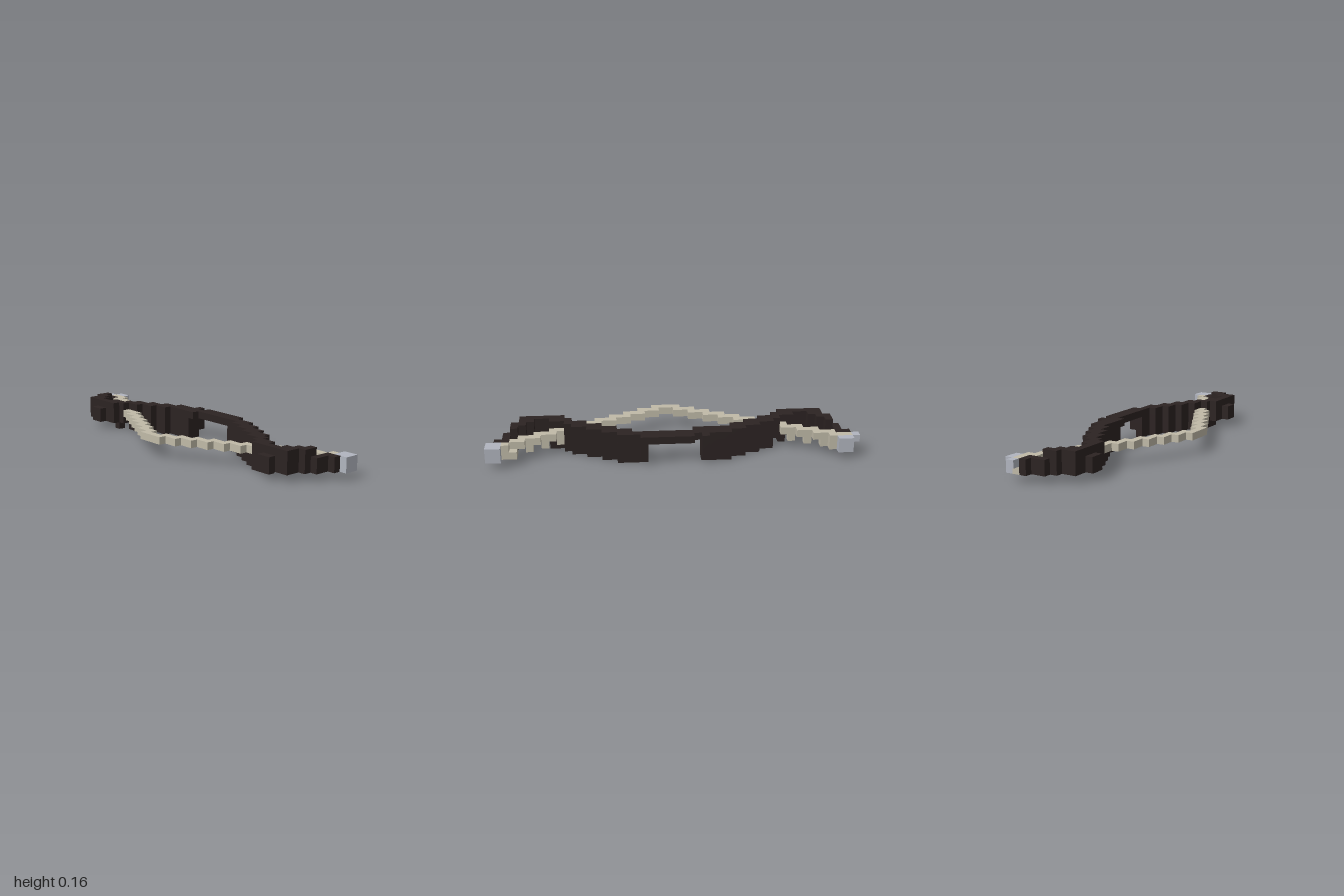
import * as THREE from 'three';
import { mergeGeometries } from 'three/addons/utils/BufferGeometryUtils.js';

const S = 2 / 49; // cube size; the grid is 13 x 4 x 49

const mat = (name, color) => {
  const m = new THREE.MeshStandardMaterial({ color });
  m.name = name;
  return m;
};

export function createModel() {
  const cells = new Map();
  // Claim a run of cubes along z for a part; the first claim wins
  const run = (part, i, k0, k1, j0, j1) => {
    for (let k = k0; k <= k1; k++)
      for (let j = j0; j <= j1; j++) {
        const key = `${i},${j},${k}`;
        if (!cells.has(key)) cells.set(key, { part, i, j, k });
      }
  };

  // Metal tips
  run('tips', 11, 47, 48, 1, 2);
  run('tips', 12, 47, 48, 1, 2);
  run('tips', 12, 1, 2, 1, 2);
  run('tips', 11, 0, 0, 2, 2);

  // Curved limbs: column and its run along z, mirrored front to back
  const limb = [
    [10, 1, 2], [9, 2, 2], [8, 2, 3], [7, 3, 4], [6, 4, 5], [5, 4, 6],
    [4, 6, 7], [5, 7, 9], [6, 8, 10], [7, 10, 12], [8, 11, 14],
    [9, 13, 16], [10, 15, 18], [11, 17, 21],
  ];
  const limbCell = (i, k) => {
    const grip = k > 20 && k < 28; // the grip is only the raised top layer
    const low = grip ? 3 : i > 5 && k > 8 && k < 41 && k !== 10 && i < 12 ? 0 : 1;
    const high = k < 3 || k > 45 || i === 4 ? 2 : 3;
    run('limbs', i, k, k, low, high);
  };
  for (const [i, a, b] of limb)
    for (let k = a; k <= b; k++) {
      limbCell(i, k);
      limbCell(i, 48 - k);
    }
  for (let k = 19; k <= 21; k++) limbCell(10, k);
  for (let k = 22; k <= 28; k++) {
    limbCell(11, k);
    limbCell(12, k);
  }
  limbCell(12, 20);

  // Drawn string in even steps, with hanging lashings near the tips
  for (let n = 0; n <= 11; n++) {
    const a = 23 - 2 * n;
    run('string', n, a, a + 2, 2, 2);
    run('string', n, 47 - a, 49 - a, 2, 2);
    if (n > 6) {
      run('string', n, a + 1, a + 1, 1, 1);
      run('string', n, 48 - a, 48 - a, 1, 1);
    }
  }
  run('string', 11, 1, 3, 1, 1);
  run('string', 11, 45, 46, 1, 1);

  // One square per exposed cube side
  const sides = [[1, 0, 0], [-1, 0, 0], [0, 1, 0], [0, -1, 0], [0, 0, 1], [0, 0, -1]].map((d) => {
    const v = new THREE.Vector3(...d);
    const geo = new THREE.PlaneGeometry(S, S);
    geo.applyQuaternion(new THREE.Quaternion().setFromUnitVectors(new THREE.Vector3(0, 0, 1), v));
    geo.translate(v.x * S / 2, v.y * S / 2, v.z * S / 2);
    return { d, geo };
  });
  const faces = { limbs: [], string: [], tips: [] };
  for (const { part, i, j, k } of cells.values())
    for (const { d, geo } of sides)
      if (!cells.has(`${i + d[0]},${j + d[1]},${k + d[2]}`))
        faces[part].push(geo.clone().translate((i - 6) * S, (j + 0.5) * S, (k - 24) * S));

  const materials = {
    limbs: mat('dark wood', 0x2c2322),
    string: mat('pale cord', 0xc0baa8),
    tips: mat('grey metal', 0xb1b5bf),
  };
  const group = new THREE.Group();
  group.name = 'bow';
  for (const part in faces) {
    const mesh = new THREE.Mesh(mergeGeometries(faces[part]), materials[part]);
    mesh.name = part;
    group.add(mesh);
  }
  return group;
}
